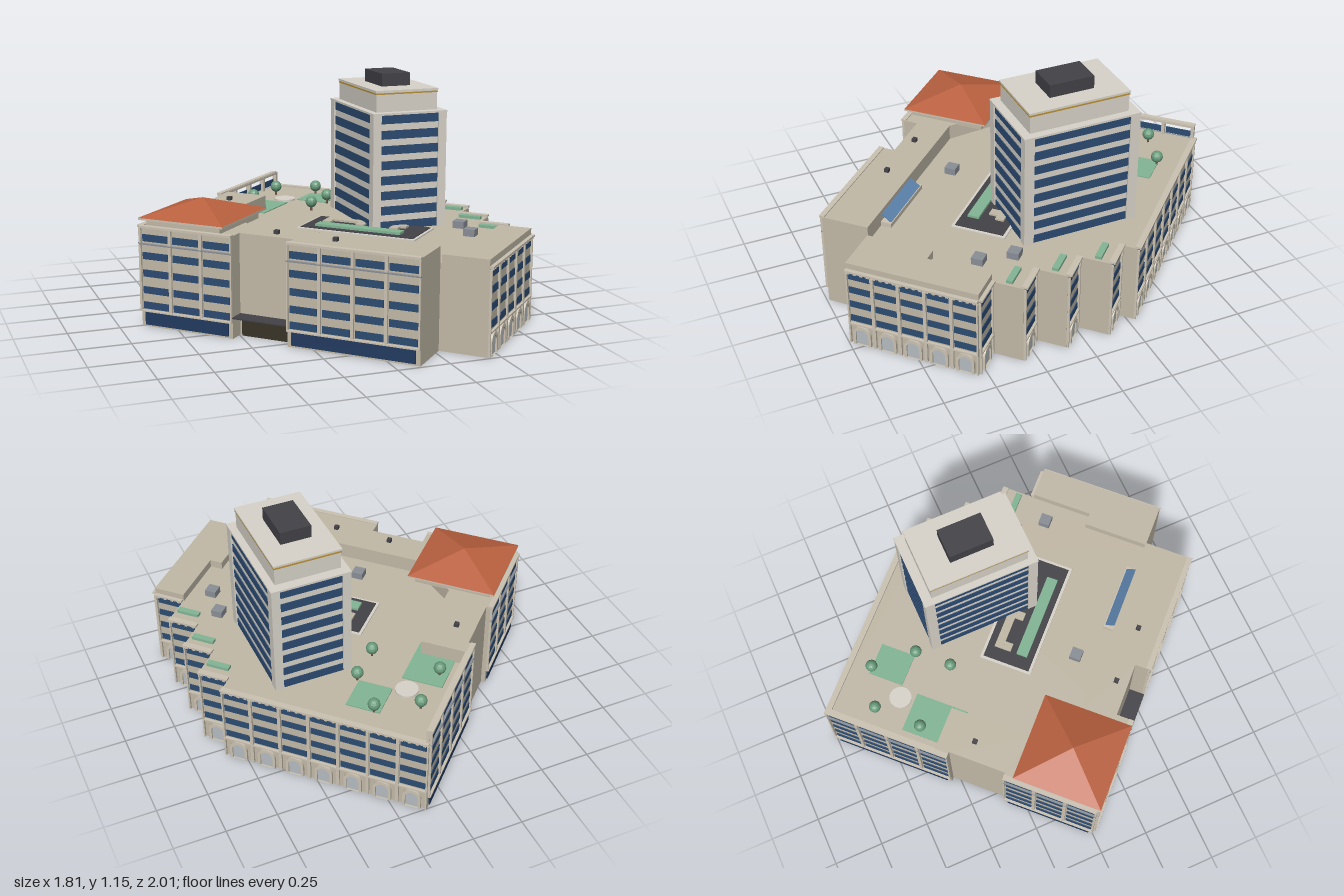
import * as THREE from 'three';

const mats = {};
const mat = (color) => (mats[color] ??= new THREE.MeshStandardMaterial({ color, flatShading: true }));
const WALL = 0xc2b9a7, TRIM = 0xcbc3b3, GLASS = 0x2c4b72, SHOP = 0x223a60, PALE = 0xd8d4ca,
  DARK = 0x434348, GREEN = 0x82b595, TILE = 0xbb6140, GOLD = 0xb8913a, DOOR = 0xb4bcc0, GREY = 0x8a8f96;

function add(parent, name, geo, color) {
  const m = new THREE.Mesh(geo, mat(color));
  m.name = name;
  parent.add(m);
  return m;
}
// Box given by its minimum and maximum on each axis
function box(parent, name, color, x0, x1, y0, y1, z0, z1) {
  const m = add(parent, name, new THREE.BoxGeometry(x1 - x0, y1 - y0, z1 - z0), color);
  m.position.set((x0 + x1) / 2, (y0 + y1) / 2, (z0 + z1) / 2);
  return m;
}
// Horizontal slab with a polygon outline
function slab(parent, name, color, pts, y0, y1) {
  const shape = new THREE.Shape(pts.map(([a, b]) => new THREE.Vector2(a, b)));
  const geo = new THREE.ExtrudeGeometry(shape, { depth: y1 - y0, bevelEnabled: false });
  geo.rotateX(Math.PI / 2).translate(0, y1, 0);
  return add(parent, name, geo, color);
}
// Round-topped outline; the plan is scaled, so the arc is an ellipse
function archPath(Type, w, h) {
  const r = w / 2, ry = r * Math.SQRT1_2, p = new Type();
  p.moveTo(-r, 0);
  p.lineTo(r, 0);
  p.lineTo(r, h - ry);
  p.absellipse(0, h - ry, r, ry, 0, Math.PI, false);
  p.lineTo(-r, 0);
  return p;
}
function arch(parent, x) {
  const ring = archPath(THREE.Shape, 0.125, 0.105);
  ring.holes.push(archPath(THREE.Path, 0.088, 0.088));
  const opt = (depth) => ({ depth, bevelEnabled: false, curveSegments: 10 });
  add(parent, 'archSurround', new THREE.ExtrudeGeometry(ring, opt(0.018)), TRIM).position.x = x;
  add(parent, 'archDoor', new THREE.ExtrudeGeometry(archPath(THREE.Shape, 0.088, 0.088), opt(0.006)), DOOR).position.x = x;
}
const SW = 0, SE = Math.PI / 2, NE = Math.PI, NW = -Math.PI / 2;

// Facade centred at (a, b): window grid, pilasters, cornice, and arches or shop glazing below
function facade(parent, name, a, b, rot, w, cols, arcade) {
  const g = new THREE.Group();
  g.name = name;
  g.position.set(a, 0, b);
  g.rotation.y = rot;
  parent.add(g);
  const rows = arcade ? [0.145, 0.225, 0.305, 0.382] : [0.105, 0.18, 0.262, 0.347, 0.434];
  const top = arcade ? 0.4 : 0.485, pitch = w / cols;
  for (let i = 0; i <= cols; i++) {
    const x = -w / 2 + i * pitch, e = 0.011;
    box(g, 'pilaster', TRIM, Math.max(x - e, -w / 2), Math.min(x + e, w / 2), arcade ? 0 : 0.08, top, 0, 0.016);
    if (i === cols) break;
    const c = x + pitch / 2;
    for (const y of rows)
      box(g, 'window', GLASS, c - pitch * 0.42, c + pitch * 0.42, y - 0.017, y + 0.017, 0, 0.006);
    if (arcade) {
      arch(g, c);
      for (let k = 0; k < 4; k++) {
        const d = x + pitch * (k + 0.5) / 4;
        box(g, 'dentil', TRIM, d - 0.01, d + 0.01, 0.4, 0.41, 0, 0.02);
      }
    }
  }
  if (arcade) {
    box(g, 'stringCourse', TRIM, -w / 2, w / 2, 0.11, 0.118, 0, 0.018);
    box(g, 'cornice', TRIM, -w / 2, w / 2, 0.41, 0.42, -0.015, 0.026);
  } else {
    box(g, 'shopWindow', SHOP, -w / 2 + 0.03, w / 2 - 0.03, 0.01, 0.072, 0, 0.01);
    box(g, 'shopLedge', TRIM, -w / 2, w / 2, 0.076, 0.083, 0, 0.022);
    box(g, 'ledge', GREY, -w / 2, w / 2, 0.402, 0.408, 0, 0.018);
    box(g, 'cornice', TRIM, -w / 2, w / 2, 0.482, 0.493, -0.015, 0.022);
  }
}

function buildTower(root) {
  const t = new THREE.Group();
  t.name = 'tower';
  root.add(t);
  box(t, 'shaft', PALE, 0.225, 0.59, 0.4, 0.975, -0.38, 0.175);
  for (const [x0, x1] of [[0.215, 0.257], [0.558, 0.6]])
    for (const [z0, z1] of [[-0.39, -0.342], [0.137, 0.185]])
      box(t, 'cornerPier', PALE, x0, x1, 0.4, 0.98, z0, z1);
  for (let i = 0; i < 8; i++) {
    const y = 0.43 + i * 0.0747;
    box(t, 'windowBandFrontBack', GLASS, 0.257, 0.558, y - 0.021, y + 0.021, -0.384, 0.179);
    box(t, 'windowBandSides', GLASS, 0.221, 0.594, y - 0.021, y + 0.021, -0.342, 0.137);
  }
  box(t, 'shaftCap', PALE, 0.213, 0.602, 0.975, 0.985, -0.392, 0.187);
  box(t, 'crown', PALE, 0.245, 0.565, 0.98, 1.083, -0.345, 0.145);
  box(t, 'goldBand', GOLD, 0.242, 0.568, 1.07, 1.077, -0.348, 0.148);
  box(t, 'crownCap', PALE, 0.24, 0.57, 1.081, 1.09, -0.35, 0.15);
  box(t, 'penthouse', DARK, 0.33, 0.48, 1.088, 1.153, -0.21, 0.01);
}

export function createModel() {
  const root = new THREE.Group();
  root.name = 'cityBlock';

  // The block stands at 45 degrees: plan axes a (to front left) and b (to front right)
  const plan = new THREE.Group();
  plan.name = 'block';
  plan.rotation.y = -Math.PI / 4;
  plan.scale.set(Math.SQRT1_2, 1, Math.SQRT1_2);
  root.add(plan);

  // Main body with stepped corner
  slab(plan, 'mainBody', WALL, [[-0.89, -1.11], [0.55, -1.11], [0.55, -1], [0.765, -1], [0.765, -0.785], [0.985, -0.785],
    [0.985, -0.57], [1.205, -0.57], [1.205, -0.355], [1.425, -0.355], [1.425, 0.55], [1.1, 0.55], [1.1, 0.88],
    [0.19, 0.88], [0.19, 0.785], [-0.2, 0.785], [-0.2, 0.89], [-0.89, 0.89], [-0.89, 0.21], [-0.86, 0.21],
    [-0.86, -0.2], [-0.89, -0.2]], 0, 0.41);

  // Raised wings
  slab(plan, 'raisedWing', WALL, [[-0.89, 0.89], [-0.89, 0.21], [-0.86, 0.21], [-0.86, -0.2], [-0.89, -0.2], [-0.89, -0.3],
    [-0.56, -0.3], [-0.56, 0.3], [-0.25, 0.55], [1.1, 0.55], [1.1, 0.88], [0.19, 0.88], [0.19, 0.785], [-0.2, 0.785],
    [-0.2, 0.89]], 0.41, 0.488);
  slab(plan, 'raisedEndBlock', WALL, [[1.2, -0.355], [1.425, -0.355], [1.425, 0.55], [1.11, 0.55], [1.11, 0.085],
    [1.2, 0.085]], 0.41, 0.45);

  // Window walls
  facade(plan, 'pavilionFrontFacade', -0.545, 0.89, SW, 0.69, 3, false);
  facade(plan, 'wingFrontFacade', 0.645, 0.88, SW, 0.91, 4, false);
  facade(plan, 'pavilionBackFacade', -0.89, 0.55, NW, 0.68, 3, false);
  facade(plan, 'gardenBackFacade', -0.89, -0.655, NW, 0.91, 4, false);
  facade(plan, 'endFacade', 1.425, 0.0975, SE, 0.905, 5, true);
  facade(plan, 'longFacade', -0.17, -1.11, NE, 1.44, 7, true);
  for (let i = 0; i < 4; i++)
    facade(plan, 'stepFacade', 0.657 + i * 0.2195, -1 + i * 0.215, NE, 0.215, 1, true);

  // Open screen along the roof garden
  for (const b of [-1.1, -0.88, -0.655, -0.43])
    box(plan, 'screenPost', TRIM, -0.89, -0.868, 0.41, 0.487, b - 0.012, b + 0.012);
  box(plan, 'screenRail', TRIM, -0.89, -0.868, 0.478, 0.49, -1.11, -0.3);

  // Pavilion roof
  box(plan, 'pavilionNeck', WALL, -0.85, -0.3, 0.48, 0.525, 0.32, 0.87);
  box(plan, 'eaves', TRIM, -0.89, -0.26, 0.52, 0.53, 0.28, 0.91);
  const roof = new THREE.ConeGeometry(0.317 * Math.SQRT2, 0.075, 4).rotateY(Math.PI / 4);
  add(plan, 'tiledRoof', roof, TILE).position.set(-0.575, 0.5675, 0.595);

  // Entrance in the front recess
  box(plan, 'entrance', 0x3a3426, -0.18, 0.18, 0, 0.098, 0.78, 0.8);
  box(plan, 'canopy', DARK, -0.2, 0.19, 0.098, 0.104, 0.78, 0.9);
  box(plan, 'canopyGoldStrip', GOLD, -0.12, 0.17, 0.08, 0.09, 0.795, 0.81);

  // Roof court beside the tower
  box(plan, 'courtBorder', PALE, -0.11, 0.76, 0.405, 0.416, -0.27, 0.11);
  box(plan, 'courtFloor', DARK, -0.09, 0.74, 0.405, 0.42, -0.25, 0.09);
  box(plan, 'courtHedge', GREEN, 0, 0.63, 0.41, 0.432, -0.035, 0.045);
  box(plan, 'courtBench', WALL, 0, 0.6, 0.41, 0.43, -0.2, -0.14);
  for (const a of [0, 0.25, 0.5])
    box(plan, 'courtBenchArm', WALL, a, a + 0.06, 0.41, 0.429, -0.15, -0.08);

  // Roof garden lawns and paved circle
  box(plan, 'lawn', GREEN, -0.5, -0.265, 0.4, 0.415, -0.955, -0.705);
  box(plan, 'lawn', GREEN, -0.8, -0.52, 0.4, 0.415, -0.58, -0.3);
  box(plan, 'lawnEdge', GREEN, -0.558, -0.52, 0.4, 0.414, -0.3, -0.2);
  add(root, 'pavedCircle', new THREE.CylinderGeometry(0.055, 0.055, 0.016, 20), PALE).position.set(0.045, 0.412, -0.635);
  for (const [x, z] of [[0.04, -0.77], [-0.14, -0.605], [0.245, -0.705], [0.225, -0.475], [0.09, -0.345]]) {
    add(root, 'treeTrunk', new THREE.CylinderGeometry(0.005, 0.006, 0.04, 6), 0x6b5440).position.set(x, 0.425, z);
    add(root, 'treeCrown', new THREE.SphereGeometry(0.03, 12, 8), 0x6a9c7c).position.set(x, 0.457, z);
  }
  for (const [a, b] of [[0.665, -0.905], [0.88, -0.69], [1.105, -0.465]])
    box(plan, 'stepPlanter', GREEN, a - 0.08, a + 0.08, 0.4, 0.425, b - 0.022, b + 0.022);

  // Sloping skylight and roof vents
  box(plan, 'skylightFrame', TRIM, 0.41, 0.91, 0.405, 0.432, 0.475, 0.56);
  const pane = box(plan, 'skylightGlass', 0x5f86b2, 0.43, 0.89, 0.444, 0.45, 0.475, 0.555);
  pane.rotation.x = -0.5;
  for (const [x, z] of [[-0.11, 0.255], [0.65, 0.255], [0.625, 0.42]])
    box(plan, 'roofVent', GREY, x + z - 0.04, x + z + 0.04, 0.4, 0.445, z - x - 0.04, z - x + 0.04);
  for (const [x, z] of [[-0.335, 0.365], [-0.13, 0.585], [-0.335, -0.395]])
    box(plan, 'smallVent', DARK, x + z - 0.016, x + z + 0.016, 0.48, 0.506, z - x - 0.016, z - x + 0.016);

  buildTower(root);
  return root;
}
